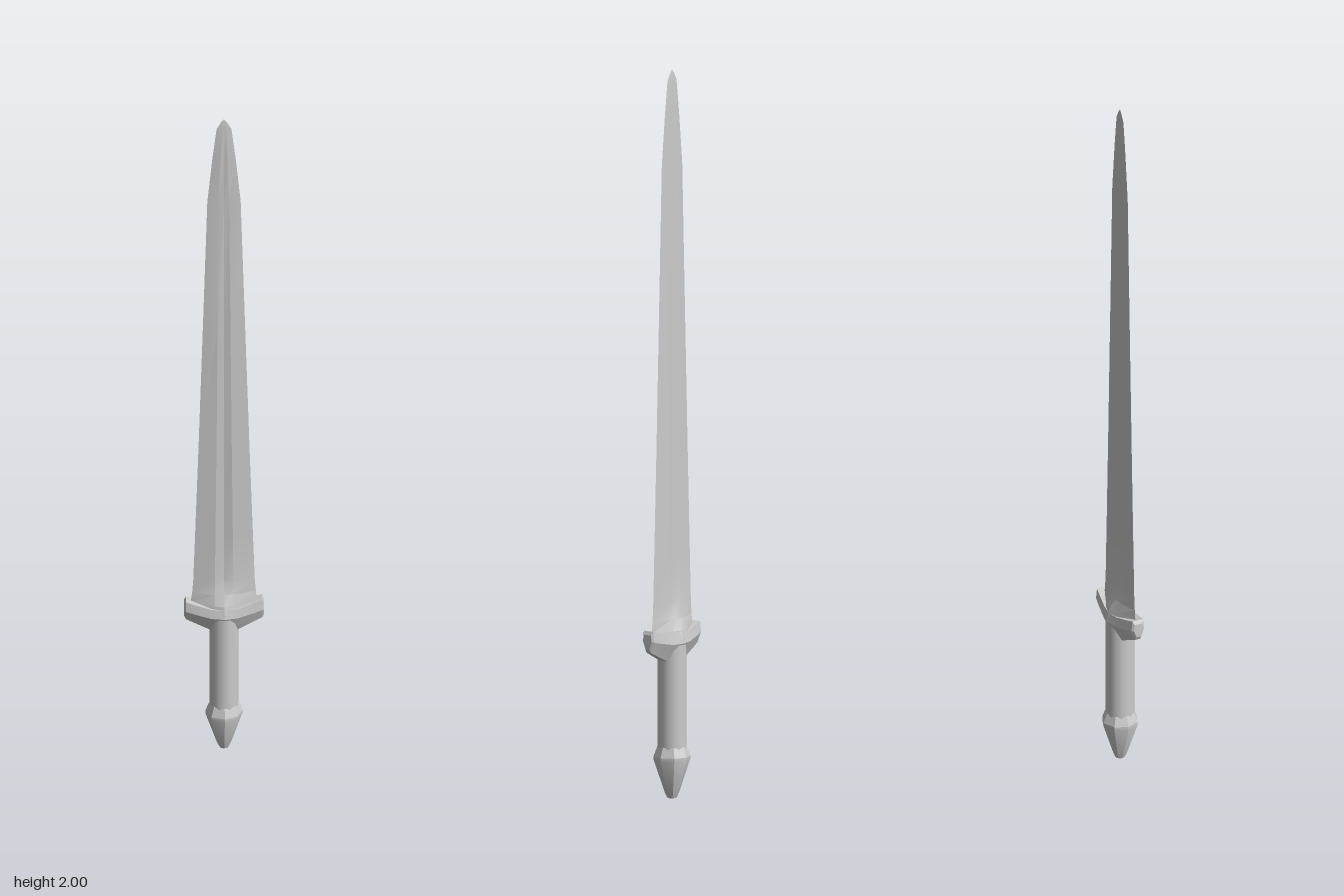
import * as THREE from 'three';
import { toCreasedNormals } from 'three/addons/utils/BufferGeometryUtils.js';

const material = new THREE.MeshStandardMaterial({ color: 0xcccccc });

// Skin a list of equal-length rings (counter-clockwise seen from the far end) and cap both ends.
function loft(rings, crease) {
  const n = rings[0].length;
  const points = rings.flat();
  const index = [];
  for (let r = 0; r < rings.length - 1; r++) {
    for (let i = 0; i < n; i++) {
      const a = r * n + i, b = r * n + (i + 1) % n;
      index.push(a, b, b + n, a, b + n, a + n);
    }
  }
  [0, rings.length - 1].forEach((r, end) => {
    const centre = new THREE.Vector3();
    rings[r].forEach((p) => centre.addScaledVector(p, 1 / n));
    const c = points.push(centre) - 1;
    for (let i = 0; i < n; i++) {
      const a = r * n + i, b = r * n + (i + 1) % n;
      index.push(c, end ? a : b, end ? b : a);
    }
  });
  const geometry = new THREE.BufferGeometry().setFromPoints(points);
  geometry.setIndex(index);
  return toCreasedNormals(geometry, crease);
}

// Blade cross-section: two ridges with a shallow groove between them.
function bladeRing([y, w, t, groove]) {
  const k = 0.3 * w;
  return [
    [w, 0], [k, -t], [0, -groove], [-k, -t],
    [-w, 0], [-k, t], [0, groove], [k, t],
  ].map(([x, z]) => new THREE.Vector3(x, y, z));
}

// Guard cross-section: six-sided, with a keel along the underside.
function guardRing([x, top, side, bottom, z]) {
  return [
    [top, -z * 0.85], [top, z * 0.85], [side, z],
    [bottom, z * 0.4], [bottom, -z * 0.4], [side, -z],
  ].map(([y, pz]) => new THREE.Vector3(x, y, pz));
}

export function createModel() {
  const group = new THREE.Group();
  const add = (name, geometry) => {
    const mesh = new THREE.Mesh(geometry, material);
    mesh.name = name;
    group.add(mesh);
  };

  // Blade: y, half width, ridge thickness, groove thickness
  add('blade', loft([
    [0.44, 0.092, 0.03, 0.039],
    [0.465, 0.09, 0.026, 0.033],
    [0.495, 0.086, 0.016, 0.017],
    [0.535, 0.083, 0.009, 0.005],
    [0.68, 0.078, 0.0085, 0.004],
    [0.95, 0.069, 0.0075, 0.0035],
    [1.34, 0.057, 0.006, 0.003],
    [1.74, 0.045, 0.0045, 0.0025],
    [1.88, 0.031, 0.004, 0.0025],
    [1.97, 0.02, 0.003, 0.0025],
    [1.99, 0.009, 0.0015, 0.0015],
    [2.0, 0.001, 0.0003, 0.0003],
  ].map(bladeRing), 0.3));

  // Guard: half profile mirrored about the centre (x, top, side, bottom, half depth)
  const half = [
    [0, 0.455, 0.43, 0.378, 0.041],
    [0.036, 0.456, 0.43, 0.382, 0.034],
    [0.085, 0.468, 0.44, 0.406, 0.023],
    [0.103, 0.474, 0.445, 0.415, 0.019],
    [0.108, 0.464, 0.445, 0.425, 0.014],
  ];
  const mirrored = half.slice(1).reverse().map(([x, ...rest]) => [-x, ...rest]);
  add('guard', loft([...mirrored, ...half].map(guardRing), 0.3));

  // Grip
  const grip = new THREE.CylinderGeometry(0.039, 0.039, 0.32, 16, 1, true);
  grip.translate(0, 0.28, 0);
  add('grip', grip);

  // Pommel: eight-sided, swelling out and tapering to a blunt foot
  const pommel = new THREE.LatheGeometry([
    [0, 0], [0.013, 0.003], [0.02, 0.018], [0.05, 0.108],
    [0.05, 0.118], [0.04, 0.145], [0, 0.145],
  ].map(([r, y]) => new THREE.Vector2(r, y)), 8);
  add('pommel', toCreasedNormals(pommel, 0.3));

  return group;
}
